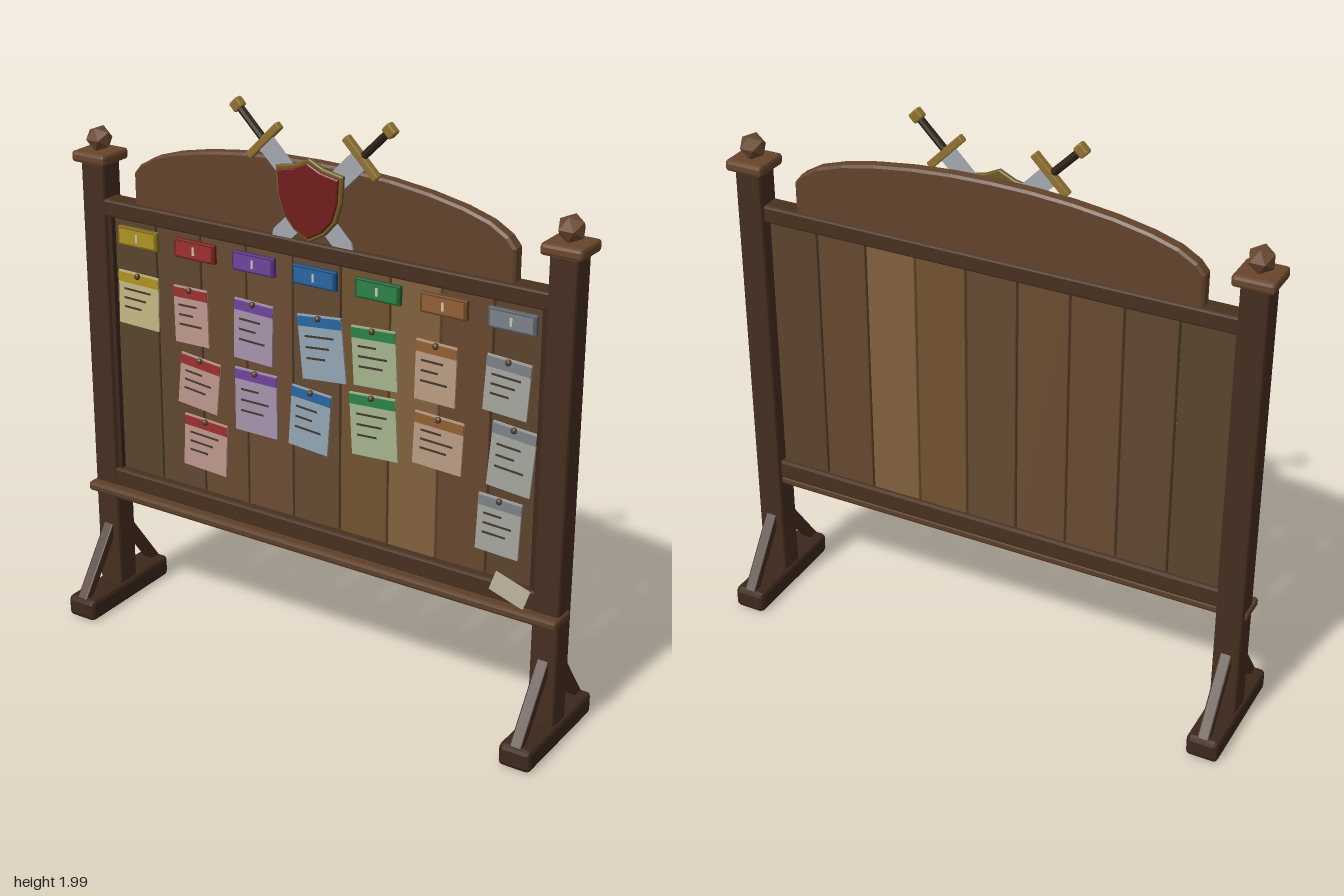
import * as THREE from 'three';
import { RoundedBoxGeometry } from 'three/addons/geometries/RoundedBoxGeometry.js';

const mats = {};
const mat = (color) => (mats[color] ??= new THREE.MeshStandardMaterial({ color, flatShading: true }));

function add(parent, name, geometry, color, x = 0, y = 0, z = 0, rz = 0) {
  const mesh = new THREE.Mesh(geometry, mat(color));
  mesh.name = name;
  mesh.position.set(x, y, z);
  mesh.rotation.z = rz;
  parent.add(mesh);
  return mesh;
}
const box = (w, h, d) => new THREE.BoxGeometry(w, h, d);
// box with chamfered edges
const beam = (w, h, d, r = 0.01) => new RoundedBoxGeometry(w, h, d, 1, r);

function group(parent, name, x = 0, y = 0, z = 0, rz = 0) {
  const g = new THREE.Group();
  g.name = name;
  g.position.set(x, y, z);
  g.rotation.z = rz;
  parent.add(g);
  return g;
}

const WOOD = { dark: 0x3c281c, post: 0x452e20, rail: 0x48301f, trim: 0x5c3f28, cap: 0x68452c, header: 0x62432b };
const GOLD = 0x8f7230, STEEL = 0xa4a8b0;
const PLANKS = [0x58452d, 0x5f4730, 0x684a31, 0x6b4c32, 0x644a32, 0x71522f, 0x81603d, 0x66482f, 0x5c432e];

// category colour and matching paper tint
const KINDS = [
  [0xb09222, 0xc4b884], [0x9c302e, 0xbd978c], [0x70449c, 0xa693ac], [0x2966a2, 0x92a5b4],
  [0x2c8246, 0xa5b48f], [0x935f34, 0xba9d83], [0x7c8288, 0xa6a6a0],
];
// kind, x, y, width, height, tilt
const NOTES = [
  [0, -0.727, 1.215, 0.17, 0.195, -0.02],
  [1, -0.503, 1.203, 0.14, 0.205, 0.02], [1, -0.476, 0.962, 0.165, 0.19, -0.1], [1, -0.455, 0.735, 0.18, 0.195, -0.05],
  [2, -0.246, 1.2, 0.155, 0.215, -0.03], [2, -0.238, 0.945, 0.17, 0.23, 0],
  [3, 0.026, 1.2, 0.17, 0.225, 0.1], [3, -0.021, 0.934, 0.155, 0.22, -0.07],
  [4, 0.228, 1.21, 0.165, 0.205, 0.06], [4, 0.228, 0.97, 0.175, 0.22, 0.06],
  [5, 0.455, 1.21, 0.148, 0.205, -0.02], [5, 0.47, 0.972, 0.18, 0.185, -0.04],
  [6, 0.709, 1.22, 0.155, 0.19, -0.06], [6, 0.735, 0.982, 0.155, 0.225, -0.08], [6, 0.698, 0.738, 0.155, 0.2, -0.04],
];

function addPost(root, side) {
  const g = group(root, side > 0 ? 'leftPost' : 'rightPost', side * 0.89);
  add(g, 'postBeam', beam(0.095, 1.63, 0.095), WOOD.post, 0, 0.875);
  add(g, 'foot', beam(0.115, 0.08, 0.45, 0.016), WOOD.dark, 0, 0.045);
  add(g, 'postCap', beam(0.14, 0.04, 0.14, 0.012), WOOD.cap, 0, 1.705);
  add(g, 'finial', new THREE.IcosahedronGeometry(0.047, 0).rotateY(Math.PI / 2), WOOD.cap, 0, 1.762);
  for (const s of [1, -1]) {
    const brace = add(g, 'footBrace', beam(0.042, 0.3, 0.036, 0.005), WOOD.post, 0, 0.193, s * 0.117);
    brace.rotation.x = -s * 0.62;
  }
}

function addBoard(root) {
  const g = group(root, 'board');
  PLANKS.forEach((c, i) => add(g, 'plank', beam(0.179, 0.955, 0.026, 0.004), c, (i - 4) * 0.186, 1.028, 0));
  add(g, 'topRail', beam(1.7, 0.062, 0.075, 0.008), WOOD.rail, 0, 1.535, 0.008);
  add(g, 'bottomRail', beam(1.7, 0.07, 0.075, 0.008), WOOD.rail, 0, 0.52, 0.008);
  add(g, 'ledge', beam(1.89, 0.034, 0.11, 0.01), WOOD.trim, 0, 0.473, 0.028);
  for (const s of [1, -1]) add(g, 'sideTrim', box(0.02, 0.95, 0.03), WOOD.dark, s * 0.835, 1.03, 0.018);
}

// arched board above the top rail
function addHeader(root) {
  const arch = [[0.715, 1.67], [0.69, 1.7], [0.63, 1.735], [0.54, 1.763], [0.42, 1.787], [0.28, 1.805], [0.14, 1.815]];
  const pts = [[0.715, 1.565], ...arch, [0, 1.818]];
  const outline = [...pts, ...pts.slice(0, -1).reverse().map(([x, y]) => [-x, y])];
  const shape = new THREE.Shape(outline.map(([x, y]) => new THREE.Vector2(x, y)));
  const geo = new THREE.ExtrudeGeometry(shape, {
    depth: 0.034, bevelEnabled: true, bevelThickness: 0.008, bevelSize: 0.008, bevelSegments: 1,
  });
  add(root, 'archedHeader', geo, WOOD.header, 0, 0, -0.012);
}

function addShield(root) {
  const half = [[0, 0.138], [0.055, 0.112], [0.127, 0.098], [0.122, 0.01], [0.1, -0.06], [0.06, -0.105]];
  const outline = [...half, [0, -0.138], ...half.slice(1).reverse().map(([x, y]) => [-x, y])];
  const plate = (k, depth) => new THREE.ExtrudeGeometry(
    new THREE.Shape(outline.map(([x, y]) => new THREE.Vector2(x * k, y * k))),
    { depth, bevelEnabled: true, bevelThickness: 0.004, bevelSize: 0.004, bevelOffset: -0.004, bevelSegments: 1 });
  const g = group(root, 'shield', 0, 1.707, 0);
  add(g, 'shieldRim', plate(1, 0.01), 0x6e5a24, 0, 0, 0.044);
  add(g, 'shieldFace', plate(0.9, 0.012), 0x701c1c, 0, 0, 0.051);
}

function addSword(root, side) {
  const g = group(root, 'sword', side * 0.18, 1.868, 0.035 + side * 0.002, -side * 0.785);
  const blade = new THREE.Shape([[-0.034, 0], [-0.032, -0.43], [0, -0.485], [0.032, -0.43], [0.034, 0]]
    .map(([x, y]) => new THREE.Vector2(x, y)));
  add(g, 'blade', new THREE.ExtrudeGeometry(blade, { depth: 0.008, bevelEnabled: false }), STEEL, 0, 0, -0.004);
  add(g, 'crossGuard', beam(0.165, 0.026, 0.026, 0.004), GOLD, 0, 0.005);
  add(g, 'grip', new THREE.CylinderGeometry(0.013, 0.013, 0.125, 8), 0x2e2018, 0, 0.075);
  add(g, 'pommel', beam(0.042, 0.036, 0.03, 0.006), GOLD, 0, 0.15);
}

function addLabels(root) {
  KINDS.forEach(([color], i) => {
    const g = group(root, 'categoryLabel', (i - 3) * 0.24, 1.442, 0);
    add(g, 'labelFrame', beam(0.168, 0.068, 0.018, 0.004), new THREE.Color(color).multiplyScalar(0.5).getHex(), 0, 0, 0.02);
    add(g, 'labelFace', box(0.148, 0.05, 0.01), color, 0, 0, 0.027);
    add(g, 'labelMark', box(0.009, 0.028, 0.006), 0xc8c4b4, 0, 0, 0.032);
  });
}

function addNotes(root) {
  NOTES.forEach(([kind, x, y, w, h, tilt], i) => {
    const [color, paper] = KINDS[kind];
    const g = group(root, 'pinnedNote', x, y, 0.02, tilt);
    add(g, 'paper', box(w, h, 0.006), paper);
    add(g, 'noteHeader', box(w, 0.034, 0.004), color, 0, h / 2 - 0.023, 0.003);
    for (let k = 0; k < 3; k++) {
      const len = w * (0.66 - 0.12 * ((k + i) % 3));
      add(g, 'writtenLine', box(len, 0.007, 0.003), 0x43382f, -w * 0.36 + len / 2, h * (0.17 - k * 0.17), 0.003);
    }
    add(g, 'pin', new THREE.SphereGeometry(0.011, 8, 6), 0x54402c, 0, h / 2 - 0.008, 0.01);
  });
  // loose sheet leaning on the ledge
  const loose = add(root, 'looseSheet', box(0.132, 0.07, 0.005), 0xb8ae98, 0.763, 0.54, 0.051, -0.3);
  loose.rotation.x = -0.08;
}

export function createModel() {
  const root = new THREE.Group();
  root.name = 'noticeBoard';
  for (const side of [1, -1]) {
    addPost(root, side);
    addSword(root, side);
  }
  addBoard(root);
  addHeader(root);
  addShield(root);
  addLabels(root);
  addNotes(root);
  return root;
}
